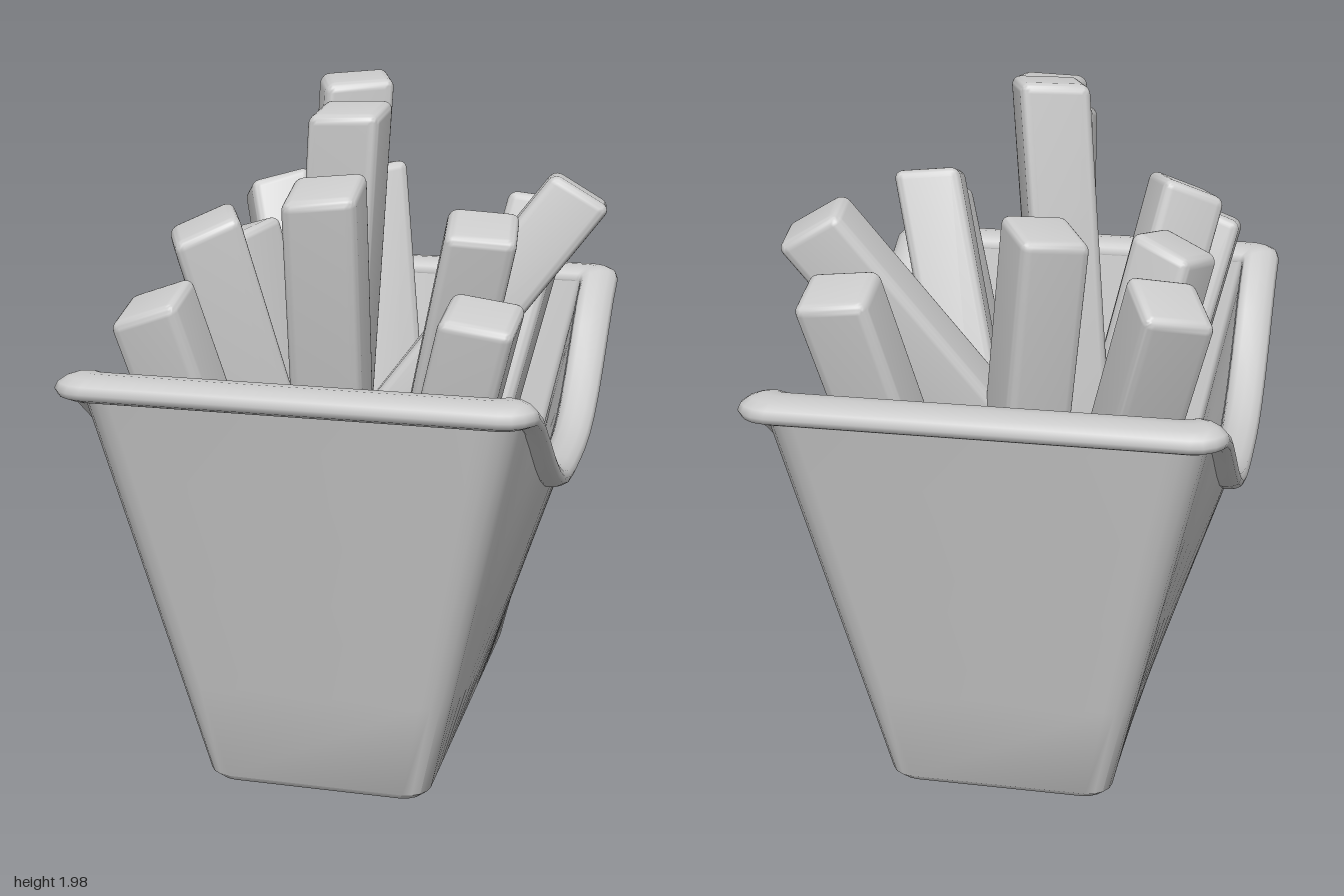
import * as THREE from 'three';
import { toCreasedNormals } from 'three/addons/utils/BufferGeometryUtils.js';
import { RoundedBoxGeometry } from 'three/addons/geometries/RoundedBoxGeometry.js';

const material = new THREE.MeshStandardMaterial({ color: 0xcccccc });
const SIDE_STEPS = 16, CORNER_STEPS = 4;
const MID_X = 0.598, MID_Z = 0.845; // centre line of the rim

// Height of the rim: level at the ends, dipping along the sides
function rimHeight(z) {
  const a = Math.pow(Math.min(Math.abs(z) / 0.82, 1), 1.5);
  return 0.855 + 0.375 * a * a * (3 - 2 * a);
}

// Rounded rectangle outline with extra points along the two long sides
function outline(hx, hz, r) {
  const pts = [];
  const corners = [[1, 1, 0], [-1, 1, 1], [-1, -1, 2], [1, -1, 3]];
  corners.forEach(([sx, sz, q]) => {
    for (let i = 0; i <= CORNER_STEPS; i++) {
      const a = (q + i / CORNER_STEPS) * Math.PI / 2;
      pts.push([sx * (hx - r) + r * Math.cos(a), sz * (hz - r) + r * Math.sin(a)]);
    }
    if (q === 1 || q === 3) {
      const from = q === 1 ? 1 : -1;
      for (let i = 1; i < SIDE_STEPS; i++) {
        pts.push([sx * hx, from * (hz - r) * (1 - 2 * i / SIDE_STEPS)]);
      }
    }
  });
  return pts;
}

const rimLine = outline(MID_X, MID_Z, 0.07);

// Skin over rows of { hx, hz, r, y, t, dy }: t blends height y towards the rim
function loft(rows, crease) {
  const n = rimLine.length, positions = [], index = [];
  rows.forEach(({ hx, hz, r, y = 0, t = 0, dy = 0 }) => {
    outline(hx, hz, r).forEach(([x, z], j) => {
      positions.push(x - 0.022, y + (rimHeight(rimLine[j][1]) - y) * t + dy, z);
    });
  });
  for (let i = 0; i < rows.length - 1; i++) {
    for (let j = 0; j < n; j++) {
      const k = (j + 1) % n, a = i * n + j, b = i * n + k;
      index.push(a, a + n, b, b, a + n, b + n);
    }
  }
  const geo = new THREE.BufferGeometry();
  geo.setAttribute('position', new THREE.Float32BufferAttribute(positions, 3));
  geo.setIndex(index);
  return toCreasedNormals(geo, crease);
}

function addMesh(group, name, geo) {
  const mesh = new THREE.Mesh(geo, material);
  mesh.name = name;
  group.add(mesh);
  return mesh;
}

function wallRow(a, b, y, t) {
  const mix = (i) => a[i] + (b[i] - a[i]) * t;
  return { hx: mix(0), hz: mix(1), r: mix(2), y, t };
}

function addContainer(group) {
  // Outer wall with bevelled foot
  const foot = [0.327, 0.642, 0.07], lip = [0.605, 0.872, 0.1];
  const outer = [{ hx: 0, hz: 0, r: 0 }, { hx: 0.305, hz: 0.62, r: 0.06 }];
  for (let i = 0; i <= 4; i++) outer.push(wallRow(foot, lip, 0.022, i / 4));
  addMesh(group, 'outerWall', loft(outer, 0.6));

  // Inner wall and floor
  const floor = [0.3, 0.6, 0.02], mouth = [0.54, 0.765, 0.02];
  const inner = [];
  for (let i = 4; i >= 0; i--) inner.push(wallRow(floor, mouth, 0.06, i / 4));
  inner.push({ hx: 0, hz: 0, r: 0, y: 0.06 });
  addMesh(group, 'innerWall', loft(inner, 0.6));

  // Rolled rim
  const rim = [];
  for (let i = 0; i <= 12; i++) {
    const a = i / 12 * Math.PI * 2, c = Math.cos(a);
    rim.push({
      hx: MID_X + 0.057 * c, hz: MID_Z + 0.083 * c, r: 0.055 + 0.04 * c,
      t: 1, dy: 0.037 * Math.sin(a),
    });
  }
  addMesh(group, 'rim', loft(rim, 1.2));
}

// Stick from base to the centre of its end face, turned about its own length
function addFry(group, tip, base, yaw) {
  const end = new THREE.Vector3(...tip), start = new THREE.Vector3(...base);
  const dir = end.clone().sub(start), length = dir.length();
  const geo = new RoundedBoxGeometry(0.2, length, 0.2, 3, 0.028);
  const pos = geo.attributes.position;
  // Slight crown across the cut end
  for (let i = 0; i < pos.count; i++) {
    if (pos.getY(i) > length * 0.4) pos.setY(i, pos.getY(i) + 0.12 * pos.getX(i));
  }
  geo.computeVertexNormals();
  const fry = addMesh(group, 'fry', toCreasedNormals(geo, 0.7));
  fry.position.copy(start).add(end).multiplyScalar(0.5);
  fry.quaternion.setFromUnitVectors(new THREE.Vector3(0, 1, 0), dir.normalize());
  fry.rotateY(yaw);
}

export function createModel() {
  const model = new THREE.Group();
  model.name = 'friesInContainer';
  addContainer(model);

  const fries = new THREE.Group();
  fries.name = 'fries';
  model.add(fries);
  // tip, base, yaw
  [
    [[-0.5, 1.54, -0.68], [-0.12, 0.12, -0.22], 0.45],
    [[0.4, 1.52, -0.68], [0.08, 0.12, -0.32], 0],
    [[0.57, 1.61, -0.34], [-0.27, 0.5, -0.13], 0.1],
    [[-0.12, 1.64, -0.42], [0.06, 0.12, -0.18], 0.55],
    [[-0.06, 1.97, -0.03], [-0.2, 0.12, -0.1], 0.35],
    [[-0.43, 1.5, -0.01], [-0.1, 0.12, -0.1], -0.4],
    [[0.38, 1.61, 0.29], [0.02, 0.12, -0.1], 0.15],
    [[-0.42, 1.59, 0.34], [-0.08, 0.12, 0.06], 0.4],
    [[0, 1.92, 0.28], [-0.16, 0.12, 0.08], 0],
    [[0.02, 1.76, 0.65], [-0.03, 0.12, 0.27], 0.06],
    [[-0.47, 1.43, 0.65], [-0.15, 0.12, 0.35], 0],
    [[0.45, 1.45, 0.66], [0.1, 0.12, 0.34], 0],
  ].forEach(([tip, base, yaw]) => addFry(fries, tip, base, yaw));
  return model;
}
